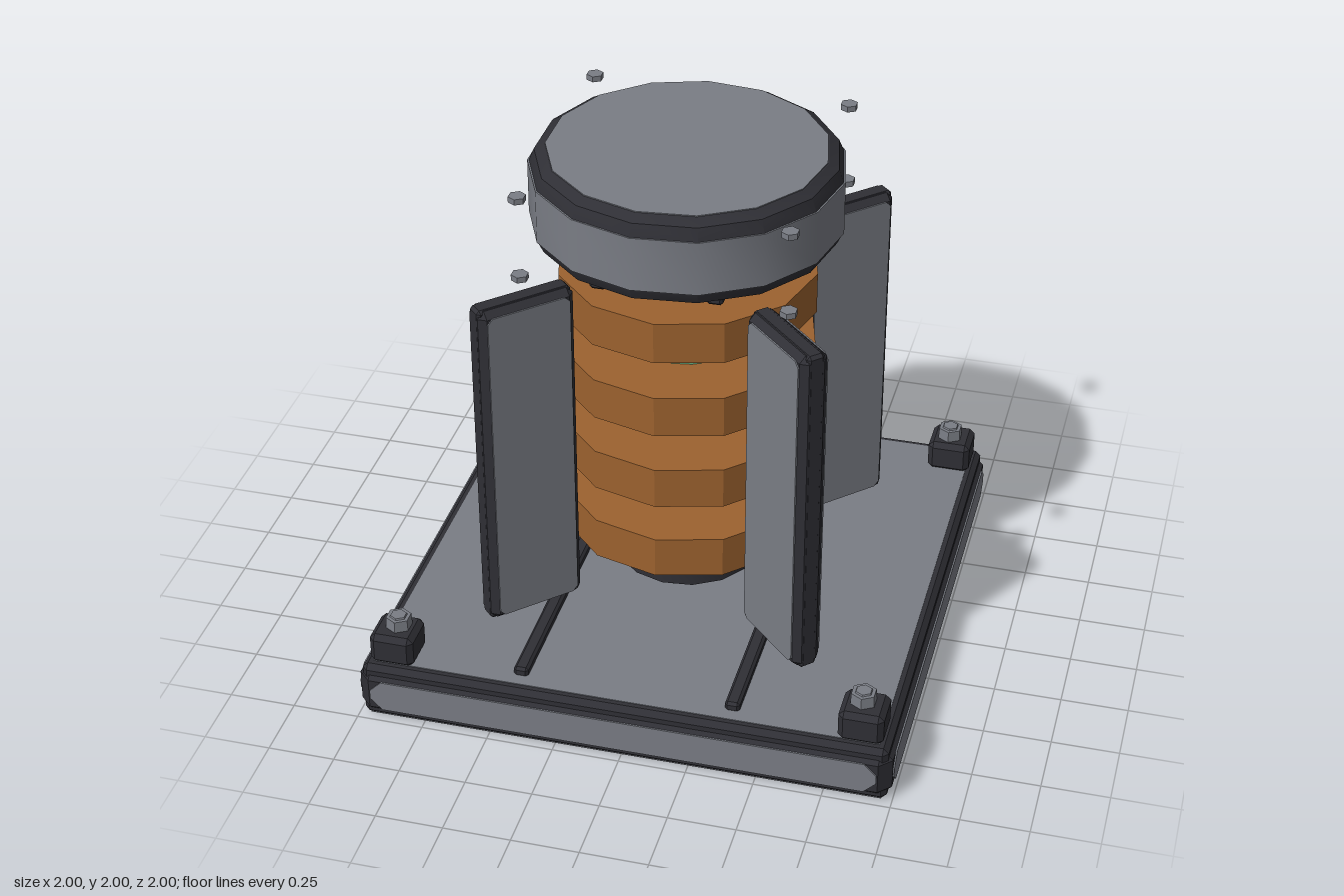
import * as THREE from 'three';
import { toCreasedNormals } from 'three/addons/utils/BufferGeometryUtils.js';
import { ConvexGeometry } from 'three/addons/geometries/ConvexGeometry.js';

const material = (name, color) => {
  const m = new THREE.MeshStandardMaterial({ color });
  m.name = name;
  return m;
};

// Box with all edges cut at 45 degrees
function chamferBox(w, h, d, c) {
  const points = [];
  for (const sx of [-1, 1]) for (const sy of [-1, 1]) for (const sz of [-1, 1]) {
    for (let axis = 0; axis < 3; axis++) {
      const p = [w / 2 - c, h / 2 - c, d / 2 - c];
      p[axis] += c;
      points.push(new THREE.Vector3(sx * p[0], sy * p[1], sz * p[2]));
    }
  }
  return new ConvexGeometry(points);
}

// Thin plate with clipped corners, facing +z
function clippedPlate(w, h, c, depth = 0.006) {
  const x = w / 2, y = h / 2;
  const s = new THREE.Shape([
    [-x + c, -y], [x - c, -y], [x, -y + c], [x, y - c],
    [x - c, y], [-x + c, y], [-x, y - c], [-x, -y + c],
  ].map(([a, b]) => new THREE.Vector2(a, b)));
  return new THREE.ExtrudeGeometry(s, { depth, bevelEnabled: false });
}

// Turned solid with a corner on +x and crisp profile edges
function turned(profile, sides) {
  const pts = profile.map(([r, y]) => new THREE.Vector2(r, y));
  const g = new THREE.LatheGeometry(pts, sides);
  g.rotateY(Math.PI / 2);
  return toCreasedNormals(g, 0.48);
}

export function createModel() {
  const gray = material('steel gray', 0x7a7d85);
  const dark = material('dark trim', 0x2f2f35);
  const copper = material('copper', 0x9c622f);
  const green = material('core green', 0x67b384);

  const model = new THREE.Group();
  const add = (name, geo, mat, x = 0, y = 0, z = 0, parent = model) => {
    const m = new THREE.Mesh(geo, mat);
    m.name = name;
    m.position.set(x, y, z);
    parent.add(m);
    return m;
  };

  // Base slab with gray top and bottom plates
  add('baseBody', chamferBox(1.96, 0.225, 1.96, 0.02), dark, 0, 0.1175, 0);
  add('baseTop', new THREE.BoxGeometry(1.885, 0.008, 1.885), gray, 0, 0.229, 0);
  add('baseBottom', new THREE.BoxGeometry(1.92, 0.008, 1.92), gray, 0, 0.004, 0);

  // Framed panels on the four sides of the base
  for (let i = 0; i < 4; i++) {
    const side = new THREE.Group();
    side.name = 'baseSide';
    side.rotation.y = i * Math.PI / 2;
    add('sideFrame', chamferBox(1.95, 0.17, 0.07, 0.025), dark, 0, 0.115, 0.96, side);
    add('sidePanel', clippedPlate(1.89, 0.125, 0.045), gray, 0, 0.115, 0.994, side);
    model.add(side);
  }

  // Corner blocks with nuts
  const nut = toCreasedNormals(new THREE.CylinderGeometry(0.047, 0.05, 0.05, 6), 0.5);
  const stud = toCreasedNormals(new THREE.CylinderGeometry(0.03, 0.035, 0.01, 6), 0.5);
  const block = chamferBox(0.165, 0.125, 0.165, 0.02);
  // Small bolts at the height of the cap's rims
  const bolt = toCreasedNormals(new THREE.CylinderGeometry(0.032, 0.032, 0.022, 6), 0.5);
  for (const sx of [-1, 1]) for (const sz of [-1, 1]) {
    add('cornerBlock', block, dark, sx * 0.872, 0.288, sz * 0.872);
    add('cornerNut', nut, gray, sx * 0.865, 0.37, sz * 0.865);
    add('cornerStud', stud, gray, sx * 0.865, 0.396, sz * 0.865);
    for (const y of [1.668, 1.978]) add('rimBolt', bolt, gray, sx * 0.48, y, sz * 0.48);
  }

  // Rails on the base and under the cap
  for (const s of [-1, 1]) {
    add('baseRail', chamferBox(0.055, 0.04, 1.79, 0.01), dark, s * 0.395, 0.245, 0);
    add('capRail', chamferBox(0.06, 0.035, 0.9, 0.01), dark, s * 0.21, 1.6525, 0);
  }

  // Four diagonal fins
  for (let i = 0; i < 4; i++) {
    const fin = new THREE.Group();
    fin.name = 'fin';
    fin.rotation.y = Math.PI / 4 + i * Math.PI / 2;
    add('finBody', chamferBox(0.375, 1.33, 0.112, 0.025), dark, 0.677, 0.925, 0, fin);
    add('finSpine', chamferBox(0.37, 1.335, 0.07, 0.012), dark, 0.68, 0.925, 0, fin);
    for (const s of [-1, 1]) {
      const plate = add('finPanel', clippedPlate(0.325, 1.285, 0.02), gray, 0.677, 0.925, s * 0.055, fin);
      if (s < 0) plate.rotation.y = Math.PI;
    }
    model.add(fin);
  }

  // Core column and its collar
  add('core', turned([[0, 0.235], [0.22, 0.235], [0.24, 0.255], [0.24, 1.665], [0, 1.665]], 20), green);
  add('collar', turned([[0, 0.275], [0.277, 0.275], [0.277, 0.335], [0, 0.335]], 15), dark);

  // Copper coil rings
  const ring = turned([[0.235, -0.08], [0.48, -0.08], [0.48, 0.08], [0.235, 0.08]], 12);
  for (let i = 0; i < 4; i++) add('coilRing', ring, copper, 0, 0.542 + i * 0.308, 0);

  // Cap with dark bevelled rims, gray band and gray end plates
  add('capBody', turned([
    [0, 1.664], [0.51, 1.664], [0.545, 1.68], [0.564, 1.72],
    [0.564, 1.93], [0.545, 1.975], [0.51, 1.996], [0, 1.996],
  ], 15), dark);
  add('capBand', turned([[0.55, 1.725], [0.57, 1.725], [0.57, 1.93], [0.55, 1.93]], 15), gray);
  add('capTop', turned([[0.505, 1.994], [0.505, 2], [0, 2]], 15), gray);
  add('capUnderside', turned([[0, 1.66], [0.505, 1.66], [0.505, 1.666]], 15), gray);

  return model;
}
